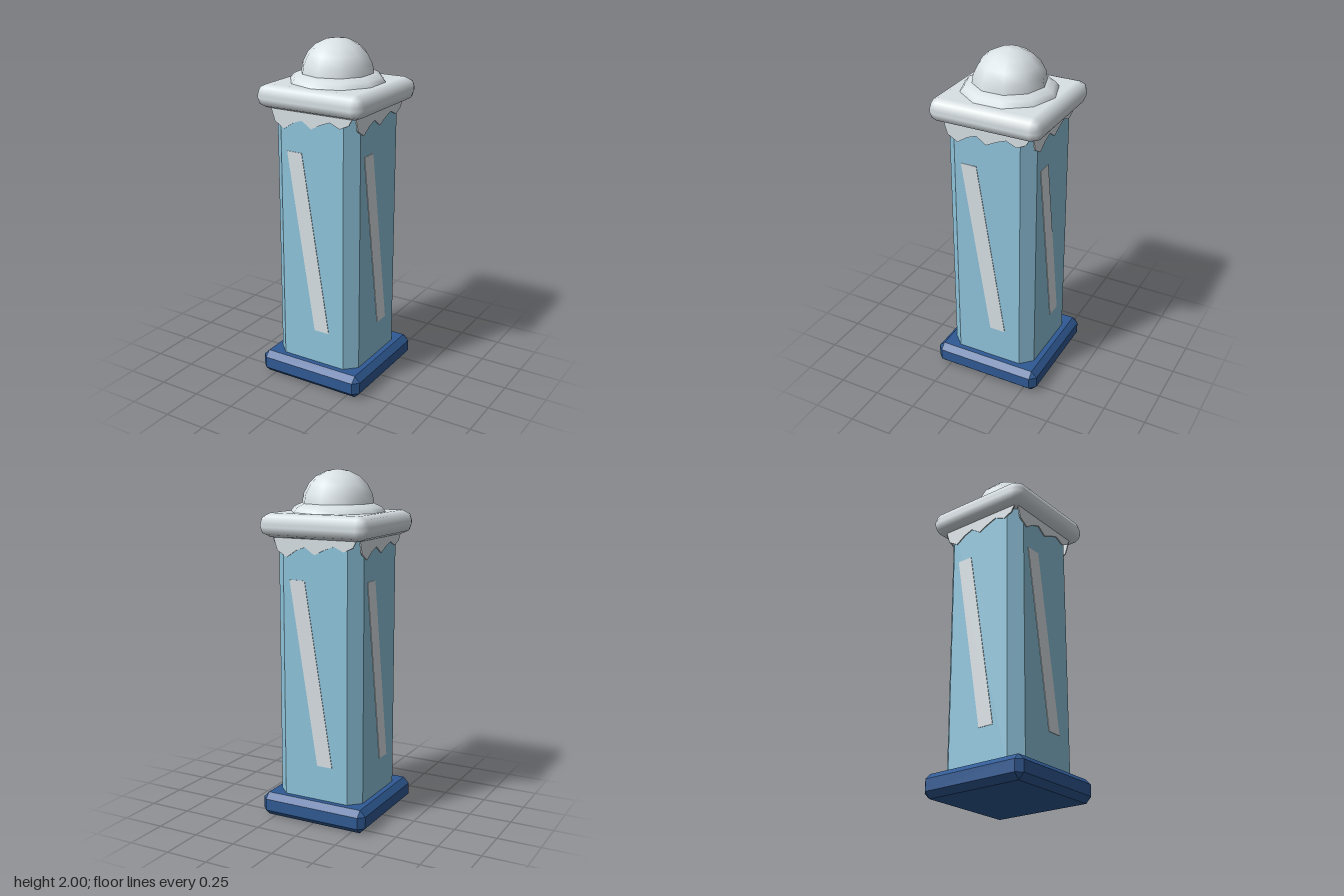
import * as THREE from 'three';
import { RoundedBoxGeometry } from 'three/addons/geometries/RoundedBoxGeometry.js';
import { ConvexGeometry } from 'three/addons/geometries/ConvexGeometry.js';

const SIGNS = [-1, 1];

// Box with every edge cut by a flat 45 degree bevel
function bevelledBox(w, h, d, c) {
  const pts = [];
  const x = w / 2, y = h / 2, z = d / 2;
  for (const i of SIGNS) for (const j of SIGNS) for (const k of SIGNS) {
    pts.push(
      new THREE.Vector3(i * x, j * (y - c), k * (z - c)),
      new THREE.Vector3(i * (x - c), j * y, k * (z - c)),
      new THREE.Vector3(i * (x - c), j * (y - c), k * z)
    );
  }
  return new ConvexGeometry(pts);
}

// Square column with only its upright edges cut
function chamferedColumn(half, flat, h) {
  const pts = [];
  for (const i of SIGNS) for (const j of SIGNS) for (const k of SIGNS) {
    pts.push(
      new THREE.Vector3(i * half, j * h / 2, k * flat),
      new THREE.Vector3(i * flat, j * h / 2, k * half)
    );
  }
  return new ConvexGeometry(pts);
}

// Thin plate cut from an outline of [x, y] points
function plate(outline, depth) {
  const shape = new THREE.Shape(outline.map(([x, y]) => new THREE.Vector2(x, y)));
  return new THREE.ExtrudeGeometry(shape, { depth, bevelEnabled: false });
}

export function createModel() {
  const model = new THREE.Group();
  model.name = 'icyPillar';

  const navy = new THREE.MeshStandardMaterial({ name: 'navyBase', color: 0x2f5a94 });
  const ice = new THREE.MeshStandardMaterial({ name: 'iceBlue', color: 0x8fc4dc });
  const snow = new THREE.MeshStandardMaterial({ name: 'snowWhite', color: 0xd9e1e5 });

  function add(name, geometry, material, y = 0, parent = model) {
    const mesh = new THREE.Mesh(geometry, material);
    mesh.name = name;
    mesh.position.y = y;
    parent.add(mesh);
    return mesh;
  }

  // Base slab and shaft
  add('base', bevelledBox(0.666, 0.136, 0.666, 0.034), navy, 0.068);
  add('shaft', chamferedColumn(0.267, 0.2, 1.56), ice, 0.88);

  // Rounded cap slab
  add('cap', new RoundedBoxGeometry(0.666, 0.134, 0.666, 1, 0.058), snow, 1.698);

  // Ten-sided collar and dome on top
  const lathe = (pts) =>
    new THREE.LatheGeometry(pts.map(([r, y]) => new THREE.Vector2(r, y)), 10);
  add('collar', lathe([[0.273, 1.755], [0.27, 1.768], [0.25, 1.793], [0.205, 1.813], [0.15, 1.815]]), snow);
  const dome = [];
  for (let i = 0; i <= 5; i++) {
    const a = (i / 5) * Math.PI / 2;
    dome.push([0.208 * Math.cos(a), 1.8 + 0.2 * Math.sin(a)]);
  }
  dome[5][0] = 0;
  add('dome', lathe(dome), snow);

  // Snow fringe and slanted glint, the same on all four sides
  const fringe = plate([
    [-0.255, 1.65], [-0.255, 1.62], [-0.235, 1.56], [-0.175, 1.525], [-0.115, 1.565],
    [-0.06, 1.585], [0, 1.545], [0.06, 1.575], [0.12, 1.597], [0.18, 1.57],
    [0.235, 1.595], [0.255, 1.63], [0.255, 1.65]
  ], 0.008);
  const glint = plate([[-0.16, 1.4], [0.01, 0.34], [0.105, 0.34], [-0.065, 1.4]], 0.004);
  for (let i = 0; i < 4; i++) {
    const side = new THREE.Group();
    side.name = 'sideDetail' + (i + 1);
    side.rotation.y = i * Math.PI / 2;
    add('snowFringe', fringe, snow, 0, side).position.z = 0.265;
    add('glint', glint, snow, 0, side).position.z = 0.266;
    model.add(side);
  }

  return model;
}
